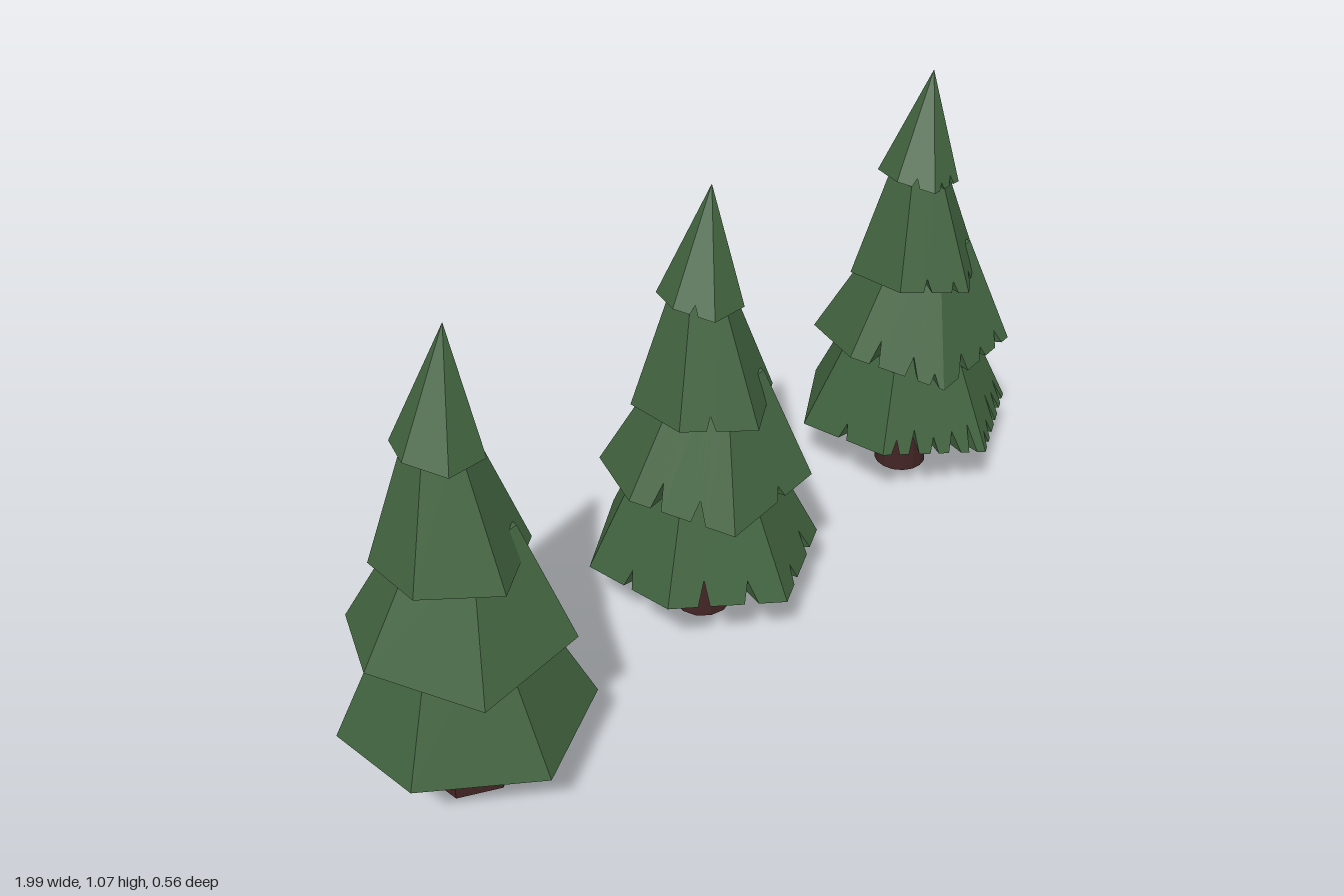
import * as THREE from 'three';

const green = new THREE.MeshStandardMaterial({ color: 0x41633f, flatShading: true });
const bark = new THREE.MeshStandardMaterial({ color: 0x432424, flatShading: true });
const V = (a) => new THREE.Vector3(...a);

// Skewed hexagonal tiers: six rim corners running from +x towards +z, the apex they lean to,
// and how far up the cone is kept
const TIERS = [
  { name: 'lowestBranches', apex: [0.0125, 0.72, -0.005], keep: 0.55, rim: [
    [0.2475, 0.13, -0.135], [0.2325, 0.145, 0.16], [-0.0125, 0.145, 0.275],
    [-0.2475, 0.19, 0.13], [-0.2225, 0.145, -0.14], [-0.0025, 0.14, -0.28]] },
  { name: 'lowerBranches', apex: [0.05, 0.85, 0.02], keep: 0.55, rim: [
    [0.213, 0.34, -0.01], [0.14, 0.385, 0.21], [-0.095, 0.333, 0.19],
    [-0.228, 0.41, 0.0], [-0.12, 0.37, -0.2], [0.11, 0.375, -0.21]] },
  { name: 'upperBranches', apex: [0.02, 1.02, -0.02], keep: 0.65, rim: [
    [0.167, 0.575, -0.08], [0.14, 0.575, 0.09], [-0.01, 0.567, 0.18],
    [-0.152, 0.59, 0.08], [-0.125, 0.57, -0.09], [0.0, 0.56, -0.15]] },
  { name: 'treeTop', apex: [0.0525, 1.065, -0.013], keep: 1, rim: [
    [0.1, 0.805, -0.01], [0.05, 0.81, 0.083], [-0.04, 0.81, 0.08],
    [-0.083, 0.83, 0.0], [-0.045, 0.82, -0.085], [0.06, 0.815, -0.095]] },
];

// V notches per tier: [position along the rim (0..6), width, depth towards the apex]
const NOTCHES = [
  [[0.42, 0.12, 0.14], [1.3, 0.1, 0.1], [1.72, 0.1, 0.07], [2.3, 0.12, 0.09], [2.7, 0.1, 0.1], [3.5, 0.1, 0.07]],
  [[0.6, 0.14, 0.1], [1.4, 0.1, 0.06], [2.35, 0.14, 0.1], [2.75, 0.1, 0.12], [5.6, 0.3, 0.14]],
  [[0.5, 0.12, 0.07], [1.4, 0.12, 0.08], [2.6, 0.12, 0.07], [5.5, 0.1, 0.06]],
  [[0.5, 0.2, 0.08], [2.5, 0.2, 0.08]],
];
const EXTRA_NOTCHES = [
  [[0.15, 0.08, 0.07], [0.72, 0.1, 0.08], [1.12, 0.08, 0.12], [1.5, 0.07, 0.14], [1.88, 0.08, 0.06],
    [2.12, 0.08, 0.12], [2.5, 0.08, 0.07], [2.88, 0.08, 0.06]],
  [[0.25, 0.12, 0.08], [0.85, 0.1, 0.1], [1.15, 0.1, 0.08], [1.7, 0.14, 0.1], [2.1, 0.1, 0.06], [5.2, 0.12, 0.07]],
  [[0.2, 0.12, 0.05], [0.8, 0.12, 0.06], [1.15, 0.1, 0.05], [1.7, 0.14, 0.06], [2.2, 0.1, 0.06]],
  [[0.2, 0.14, 0.06], [1.3, 0.18, 0.09], [1.7, 0.18, 0.06]],
];

// One solid tier: notched rim, sloping wall, underside and hidden cap
function tierGeometry({ rim, apex, keep }, notches) {
  const corners = rim.map(V), tip = V(apex);
  const stops = corners.map((_, i) => [i, 0]);
  for (const [u, w, d] of notches) stops.push([u - w / 2, 0], [u, d], [u + w / 2, 0]);
  stops.sort((a, b) => a[0] - b[0]);

  const edgePoint = (u) => {
    const i = Math.floor(u);
    return corners[i].clone().lerp(corners[(i + 1) % 6], u - i);
  };
  const low = stops.map(([u, d]) => edgePoint(u).lerp(tip, d));
  const high = stops.map(([u]) => edgePoint(u).lerp(tip, keep));
  const middle = corners.reduce((s, p) => s.add(p), new THREE.Vector3()).divideScalar(6);
  const cap = middle.clone().lerp(tip, keep);

  const tris = [];
  low.forEach((a, i) => {
    const j = (i + 1) % low.length, b = low[j];
    tris.push(b, a, high[i], middle, a, b);
    if (keep < 1) tris.push(b, high[i], high[j], cap, high[j], high[i]);
  });
  const geo = new THREE.BufferGeometry().setFromPoints(tris);
  geo.computeVertexNormals();
  return geo;
}

// Trunk; a worn one gets a few gouges pressed into its front and side
function trunkGeometry(radius, sides, worn) {
  const geo = new THREE.CylinderGeometry(radius, radius, 0.3, sides, worn ? 12 : 1);
  geo.translate(0, 0.15, 0);
  if (worn) {
    const gouges = [[0.065, 0.09, 0], [0.03, 0.07, 0.058], [0.05, 0.12, 0.04]].map(V);
    const pos = geo.attributes.position, p = new THREE.Vector3();
    for (let i = 0; i < pos.count; i++) {
      p.fromBufferAttribute(pos, i);
      if (p.y < 0.01) continue;
      const hit = gouges.some((g) => g.distanceTo(p) < 0.02);
      if (hit) pos.setXYZ(i, p.x * 0.87, p.y, p.z * 0.87);
    }
    geo.computeVertexNormals();
  }
  return geo;
}

function makeTree(name, x, radius, sides, notchSets, worn) {
  const tree = new THREE.Group();
  tree.name = name;
  tree.position.x = x;
  const trunk = new THREE.Mesh(trunkGeometry(radius, sides, worn), bark);
  trunk.name = 'trunk';
  trunk.position.set(-0.003, 0, 0.01);
  tree.add(trunk);
  TIERS.forEach((tier, i) => {
    const mesh = new THREE.Mesh(tierGeometry(tier, notchSets.flatMap((set) => set[i])), green);
    mesh.name = tier.name;
    tree.add(mesh);
  });
  return tree;
}

export function createModel() {
  const model = new THREE.Group();
  model.name = 'pineTrees';
  // Three trees with the same build and increasing detail
  model.add(
    makeTree('plainTree', -0.7525, 0.1, 6, [], false),
    makeTree('notchedTree', -0.025, 0.067, 12, [NOTCHES], false),
    makeTree('raggedTree', 0.745, 0.066, 16, [NOTCHES, EXTRA_NOTCHES], true),
  );
  return model;
}
